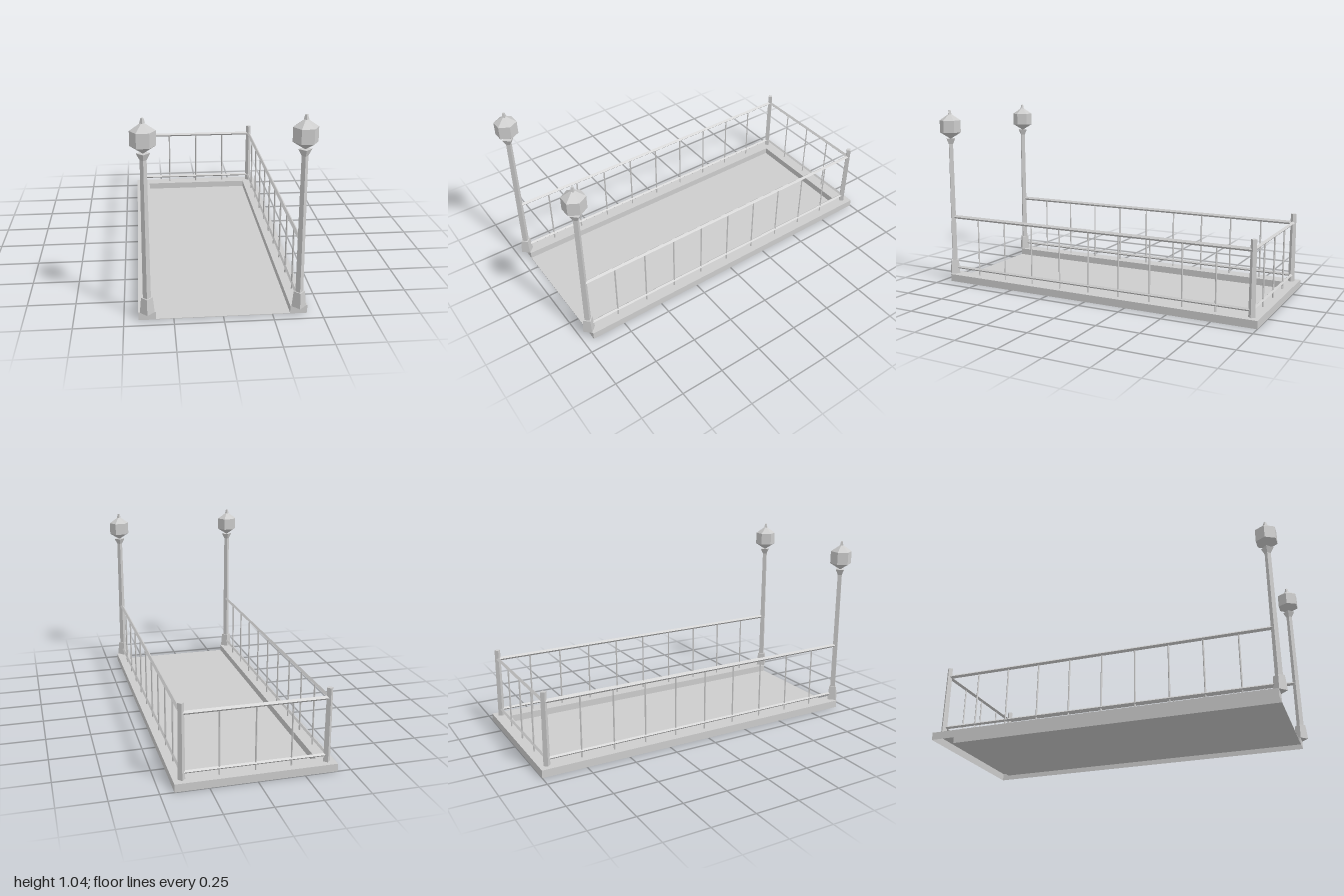
import * as THREE from 'three';

const metal = new THREE.MeshStandardMaterial({ color: 0xcccccc, flatShading: true, side: THREE.DoubleSide });
metal.name = 'light grey';

const POST_X = 0.382, FRONT_Z = 0.947, BACK_Z = -0.956, CURB_H = 0.043;

function add(parent, name, geometry, x = 0, y = 0, z = 0) {
  const mesh = new THREE.Mesh(geometry, metal);
  mesh.name = name;
  mesh.position.set(x, y, z);
  parent.add(mesh);
  return mesh;
}

// Upright faceted section between two heights
function column(parent, name, rBottom, rTop, y0, y1, x, z, sides = 4) {
  const start = sides === 6 ? Math.PI / 6 : 0;
  const g = new THREE.CylinderGeometry(rTop, rBottom, y1 - y0, sides, 1, false, start);
  return add(parent, name, g, x, (y0 + y1) / 2, z);
}

// Diamond-section bar along x or z
function rail(parent, name, r, length, axis, x, y, z) {
  const g = new THREE.CylinderGeometry(r, r, length, 4);
  if (axis === 'x') g.rotateZ(Math.PI / 2);
  else g.rotateX(Math.PI / 2);
  return add(parent, name, g, x, y, z);
}

// U-shaped curb, hollow underneath
function buildCurb(parent) {
  const curb = new THREE.Group();
  curb.name = 'curb';
  const ox = 0.427, ix = 0.34, f = -0.945, ob = 1, ib = 0.915;
  const outline = [[-ox, f], [-ix, f], [-ix, ib], [ix, ib], [ix, f], [ox, f], [ox, ob], [-ox, ob]];
  const top = new THREE.ShapeGeometry(new THREE.Shape(outline.map(p => new THREE.Vector2(...p))));
  top.rotateX(-Math.PI / 2);
  add(curb, 'curbTop', top, 0, CURB_H, 0);

  const pos = [];
  outline.forEach(([ax, ay], i) => {
    const [bx, by] = outline[(i + 1) % outline.length];
    const a0 = [ax, 0, -ay], b0 = [bx, 0, -by], b1 = [bx, CURB_H, -by], a1 = [ax, CURB_H, -ay];
    pos.push(...a0, ...b0, ...b1, ...a0, ...b1, ...a1);
  });
  const walls = new THREE.BufferGeometry();
  walls.setAttribute('position', new THREE.Float32BufferAttribute(pos, 3));
  walls.computeVertexNormals();
  add(curb, 'curbWalls', walls);
  parent.add(curb);
}

// Tapered post with footing, flared cap and six-sided lantern
function buildLampPost(parent, side) {
  const lamp = new THREE.Group();
  lamp.name = side > 0 ? 'leftLampPost' : 'rightLampPost';
  const x = side * POST_X, z = FRONT_Z;
  column(lamp, 'footing', 0.037, 0.029, CURB_H, 0.126, x, z);
  column(lamp, 'post', 0.02, 0.0165, 0.126, 0.842, x, z);
  column(lamp, 'flaredCap', 0.0165, 0.034, 0.842, 0.876, x, z);
  column(lamp, 'lanternBottom', 0.004, 0.062, 0.876, 0.912, x, z, 6);
  column(lamp, 'lanternBody', 0.062, 0.062, 0.912, 0.985, x, z, 6);
  column(lamp, 'lanternRoof', 0.062, 0.01, 0.985, 1.021, x, z, 6);
  column(lamp, 'finial', 0.0135, 0.007, 1.02, 1.045, x, z);
  parent.add(lamp);
}

export function createModel() {
  const model = new THREE.Group();
  model.name = 'railedEntrance';

  buildCurb(model);
  add(model, 'floor', new THREE.BoxGeometry(0.68, 0.003, 1.86), 0, 0.0015, 0.015);

  const zMid = (FRONT_Z + BACK_Z) / 2, sideLength = FRONT_Z - BACK_Z;
  for (const s of [-1, 1]) {
    buildLampPost(model, s);
    column(model, 'backPost', 0.019, 0.0165, CURB_H, 0.45, s * POST_X, BACK_Z);

    // Side railing
    const railing = new THREE.Group();
    railing.name = s > 0 ? 'leftRailing' : 'rightRailing';
    rail(railing, 'topRail', 0.011, sideLength, 'z', s * POST_X, 0.396, zMid);
    rail(railing, 'lowerRail', 0.009, sideLength, 'z', s * POST_X, 0.081, zMid);
    for (let i = -4; i <= 4; i++) {
      column(railing, 'baluster', 0.005, 0.005, CURB_H, 0.392, s * POST_X, i * 0.19);
    }
    model.add(railing);
  }

  // Back railing
  const back = new THREE.Group();
  back.name = 'backRailing';
  rail(back, 'topRail', 0.011, 2 * POST_X, 'x', 0, 0.396, BACK_Z);
  rail(back, 'lowerRail', 0.009, 2 * POST_X, 'x', 0, 0.081, BACK_Z);
  for (let i = -1; i <= 1; i++) {
    column(back, 'baluster', 0.005, 0.005, CURB_H, 0.392, i * 0.19, BACK_Z);
  }
  model.add(back);

  return model;
}
